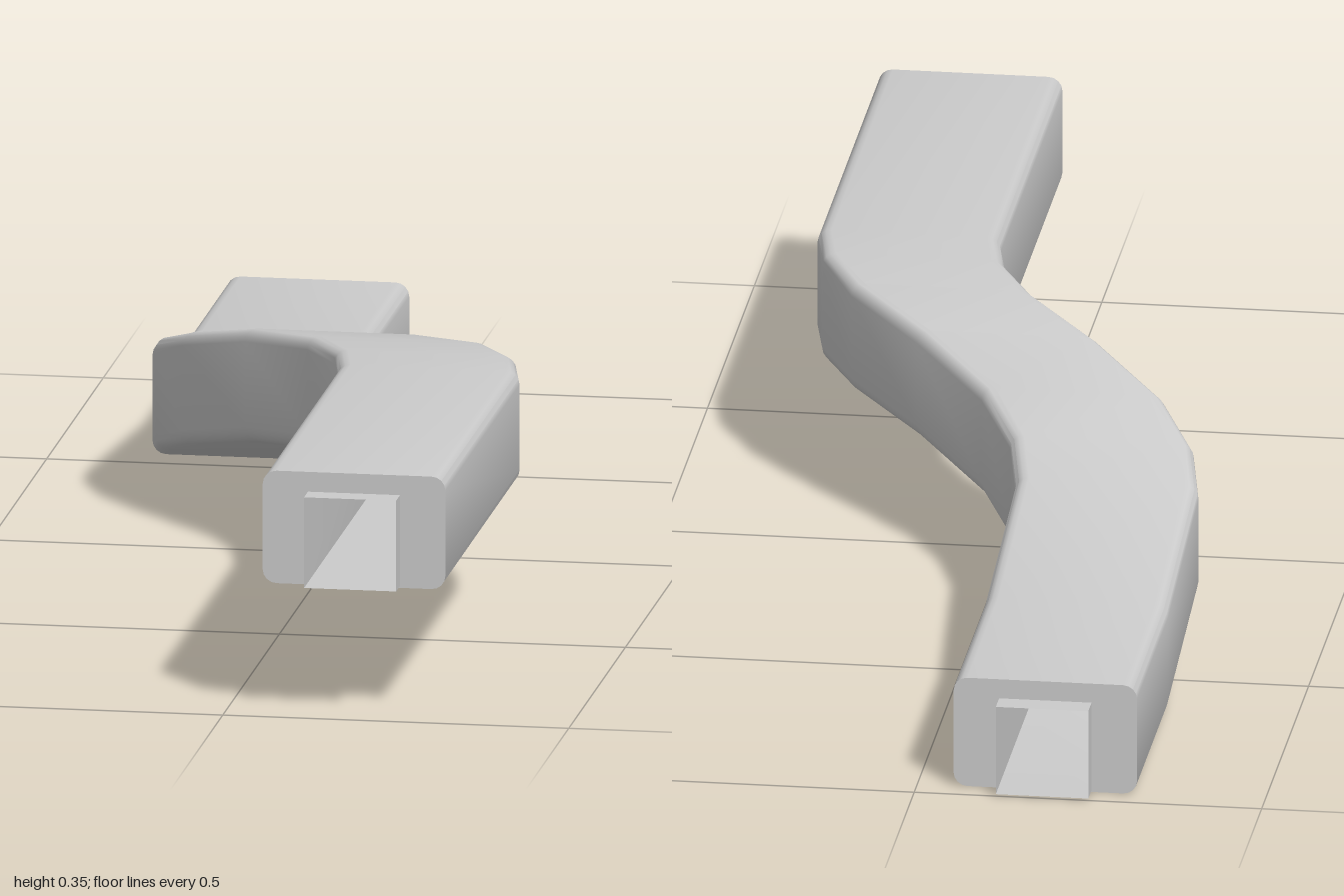
import * as THREE from 'three';
import { toCreasedNormals } from 'three/addons/utils/BufferGeometryUtils.js';

const W = 0.264, H = 0.165, R = 0.02; // outer section
const CW = 0.133, CH = 0.133, FLOOR = 0.003; // inner channel

// Bend stations from front to back: z, centre x, underside y
const bend = [
  [0.31, 0.184, 0.188], [0.22, 0.165, 0.187], [0.12, 0.11, 0.181], [0, 0, 0.16],
  [-0.12, -0.11, 0.122], [-0.22, -0.165, 0.089], [-0.31, -0.184, 0.06], [-0.635, -0.184, 0],
];
const stations = (end) => [[end, 0.184, 0.188], ...bend, [-end, -0.184, 0]];

// Rounded section, counter-clockwise, standing on y = 0
function outerSection() {
  const pts = [];
  const corners = [[1, 0], [1, 1], [-1, 1], [-1, 0]];
  corners.forEach(([sx, top], k) => {
    for (let i = 0; i <= 4; i++) {
      const a = (k - 1 + i / 4) * Math.PI / 2;
      pts.push(new THREE.Vector2(
        sx * (W / 2 - R) + R * Math.cos(a),
        (top ? H - R : R) + R * Math.sin(a)));
    }
  });
  return pts;
}

function innerSection() {
  const w = CW / 2, t = FLOOR + CH;
  return [[-w, FLOOR], [w, FLOOR], [w, t], [-w, t]].map(([x, y]) => new THREE.Vector2(x, y));
}

// Carries an upright section along the stations
function sweep(section, path) {
  const pos = [], index = [], n = section.length;
  for (const [z, x, y] of path) for (const p of section) pos.push(x + p.x, y + p.y, z);
  for (let i = 0; i < path.length - 1; i++) {
    for (let j = 0; j < n; j++) {
      const a = i * n + j, b = i * n + (j + 1) % n;
      index.push(a, a + n, b, b, a + n, b + n);
    }
  }
  const g = new THREE.BufferGeometry();
  g.setAttribute('position', new THREE.Float32BufferAttribute(pos, 3));
  g.setIndex(index);
  return toCreasedNormals(g, 0.6);
}

export function createModel() {
  const model = new THREE.Group();
  model.name = 'offsetDuct';
  const grey = new THREE.MeshStandardMaterial({ color: 0xcccccc });
  const thin = new THREE.MeshStandardMaterial({ color: 0xcccccc, side: THREE.DoubleSide });
  const add = (name, geometry, material) => {
    const mesh = new THREE.Mesh(geometry, material);
    mesh.name = name;
    model.add(mesh);
    return mesh;
  };

  // Outer body
  add('ductBody', sweep(outerSection(), stations(0.965)), grey);

  // Thin inner channel, standing out at both ends as a connector sleeve
  add('innerChannel', sweep(innerSection(), stations(1)), thin);

  // End faces with the channel opening
  const face = new THREE.Shape(outerSection());
  face.holes.push(new THREE.Path(innerSection()));
  const faceGeometry = new THREE.ShapeGeometry(face);
  add('frontEndFace', faceGeometry, grey).position.set(0.184, 0.188, 0.965);
  const back = add('backEndFace', faceGeometry, grey);
  back.position.set(-0.184, 0, -0.965);
  back.rotation.y = Math.PI;

  return model;
}
